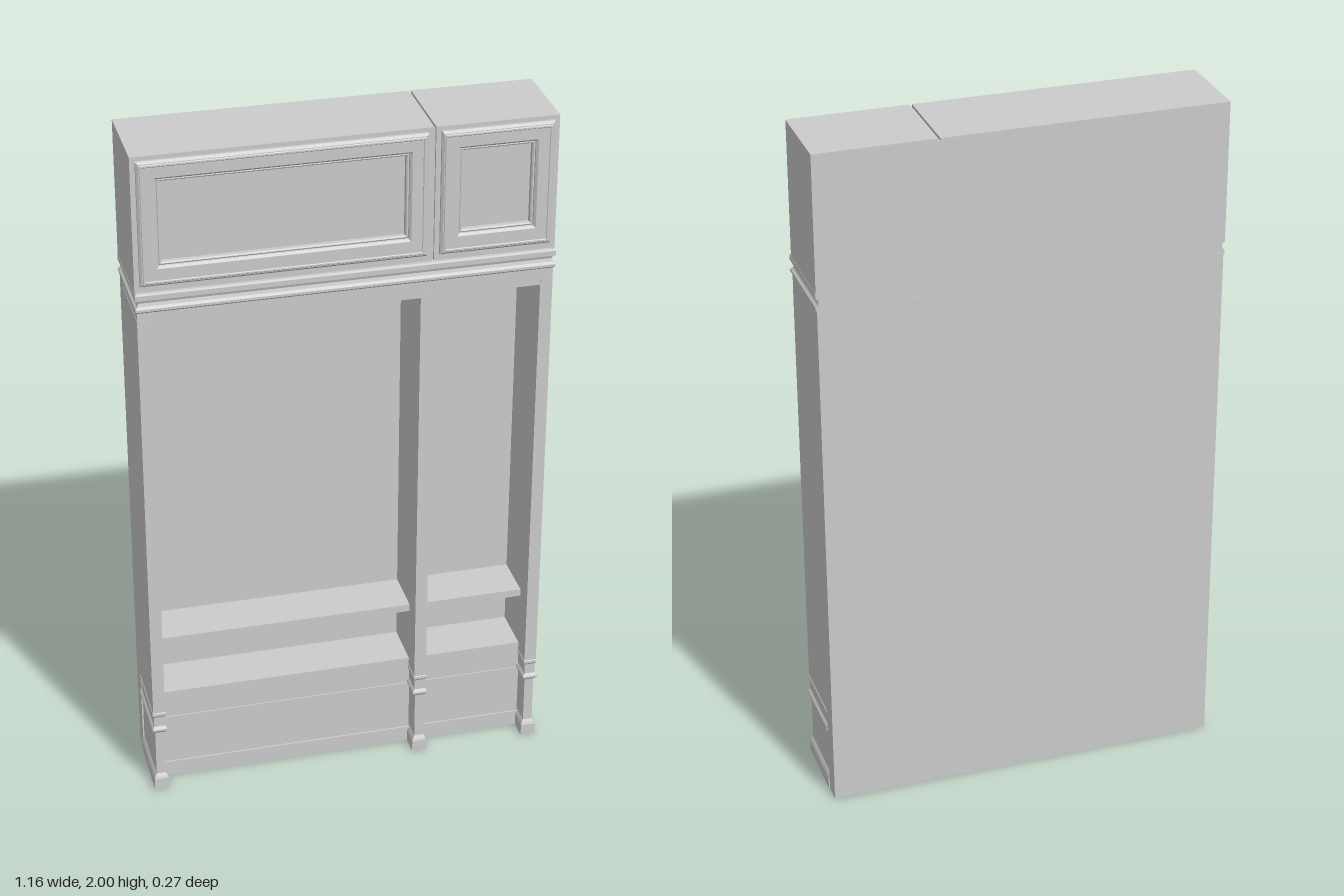
import * as THREE from 'three';

const material = new THREE.MeshStandardMaterial({ color: 0xcccccc, flatShading: true });
const BACK = -0.135, INNER_BACK = -0.08;

function addMesh(parent, name, geometry) {
  const mesh = new THREE.Mesh(geometry, material);
  mesh.name = name;
  parent.add(mesh);
  return mesh;
}

// Box given by its limits
function addBox(parent, name, [x0, x1], [y0, y1], [z0, z1]) {
  const mesh = addMesh(parent, name, new THREE.BoxGeometry(x1 - x0, y1 - y0, z1 - z0));
  mesh.position.set((x0 + x1) / 2, (y0 + y1) / 2, (z0 + z1) / 2);
  return mesh;
}

// Rectangular column whose sides and front follow a profile of [offset, height]
function addMoulded(parent, name, [x0, x1], [z0, z1], profile) {
  const points = profile.map(([d, y]) => new THREE.Vector2(1 + d, y));
  points.unshift(new THREE.Vector2(0, profile[0][1]));
  points.push(new THREE.Vector2(0, profile[profile.length - 1][1]));
  const geometry = new THREE.LatheGeometry(points, 4, Math.PI / 4).toNonIndexed();
  const p = geometry.attributes.position;
  for (let i = 0; i < p.count; i++) {
    const r = Math.hypot(p.getX(i), p.getZ(i));
    if (r < 0.5) {
      p.setXYZ(i, (x0 + x1) / 2, p.getY(i), (z0 + z1) / 2);
      continue;
    }
    const d = r - 1;
    p.setXYZ(i, p.getX(i) > 0 ? x1 + d : x0 - d, p.getY(i), p.getZ(i) > 0 ? z1 + d : z0);
  }
  geometry.computeVertexNormals();
  return addMesh(parent, name, geometry);
}

function rectangle(path, x0, x1, y0, y1) {
  path.moveTo(x0, y0);
  path.lineTo(x1, y0);
  path.lineTo(x1, y1);
  path.lineTo(x0, y1);
  path.closePath();
  return path;
}

// Rectangular frame with a chamfered front edge
function addFrame(parent, name, outer, inner, z0, z1, bevel) {
  const [x0, x1, y0, y1] = outer, [a0, a1, b0, b1] = inner;
  const shape = rectangle(new THREE.Shape(), x0 + bevel, x1 - bevel, y0 + bevel, y1 - bevel);
  shape.holes.push(rectangle(new THREE.Path(), a0 - bevel, a1 + bevel, b0 - bevel, b1 + bevel));
  const geometry = new THREE.ExtrudeGeometry(shape, {
    depth: z1 - z0 - bevel, bevelEnabled: bevel > 0, bevelSize: bevel,
    bevelThickness: bevel, bevelSegments: 1,
  });
  geometry.translate(0, 0, z0);
  return addMesh(parent, name, geometry);
}

// Wall cabinet with a framed door and sunken panel
function addCabinet(parent, name, [x0, x1]) {
  const group = new THREE.Group();
  group.name = name;
  const opening = [x0 + 0.066, x1 - 0.066, 1.688, 1.935];
  addBox(group, 'cabinetBody', [x0, x1], [1.608, 2], [BACK, 0.106]);
  addFrame(group, 'cabinetFrontFrame', [x0, x1, 1.608, 2], opening, 0.106, 0.118, 0);
  addFrame(group, 'doorFrame', [x0 + 0.014, x1 - 0.014, 1.632, 1.988], opening, 0.112, 0.131, 0.006);
  // Raised beads round the door edge and the opening
  addFrame(group, 'doorBead', [x0 + 0.022, x1 - 0.022, 1.64, 1.98],
    [x0 + 0.03, x1 - 0.03, 1.648, 1.972], 0.125, 0.1335, 0.002);
  const [a, b, c, d] = opening;
  addFrame(group, 'panelBead', [a, b, c, d], [a + 0.008, b - 0.008, c + 0.008, d - 0.008], 0.104, 0.122, 0.003);
  parent.add(group);
}

export function createModel() {
  const model = new THREE.Group();
  model.name = 'hallCabinet';

  // Back panel and ceiling rail
  addBox(model, 'backPanel', [-0.575, 0.574], [0, 1.56], [BACK, INNER_BACK]);
  addBox(model, 'topRail', [-0.574, 0.573], [1.505, 1.56], [INNER_BACK, 0.122]);

  // Uprights with moulded feet
  const foot = [
    [0.003, 0], [0.003, 0.035], [0, 0.042], [-0.005, 0.05], [-0.005, 0.195], [0.003, 0.204],
    [0.003, 0.21], [-0.003, 0.218], [-0.003, 0.25], [0.001, 0.256], [0.001, 0.264], [-0.001, 0.266], [-0.001, 1.53],
  ];
  const uprights = { rightUpright: [-0.576, -0.539], middleUpright: [0.2, 0.237], leftUpright: [0.537, 0.574] };
  for (const [name, span] of Object.entries(uprights)) {
    addMoulded(model, name, span, [INNER_BACK, 0.124], foot);
  }

  // Each bay: shelf, bench and plinth board, hollow below
  const bays = { wideBay: [-0.541, 0.202], narrowBay: [0.235, 0.539] };
  for (const [name, span] of Object.entries(bays)) {
    const bay = new THREE.Group();
    bay.name = name;
    addBox(bay, 'shelf', span, [0.455, 0.477], [INNER_BACK, 0.06]);
    addBox(bay, 'benchTop', span, [0.265, 0.29], [INNER_BACK, 0.06]);
    addBox(bay, 'benchFront', span, [0.03, 0.28], [0.035, 0.06]);
    addBox(bay, 'plinthBoard', span, [0.02, 0.204], [0.04, 0.064]);
    addBox(bay, 'skirting', span, [0, 0.048], [0.04, 0.069]);
    model.add(bay);
  }

  // Moulding between the lower unit and the wall cabinets
  addMoulded(model, 'middleMoulding', [-0.573, 0.571], [BACK + 0.001, 0.124], [
    [0.001, 1.555], [0.006, 1.56], [0.006, 1.567], [0, 1.573], [-0.003, 1.582],
    [0, 1.59], [0.006, 1.593], [0.006, 1.607], [0.003, 1.612],
  ]);

  // Wall cabinets with a narrow joint between them
  addCabinet(model, 'wideCabinet', [-0.578, 0.23]);
  addCabinet(model, 'narrowCabinet', [0.237, 0.576]);
  addBox(model, 'cabinetJoint', [0.228, 0.239], [1.608, 1.992], [BACK, 0.11]);

  return model;
}
